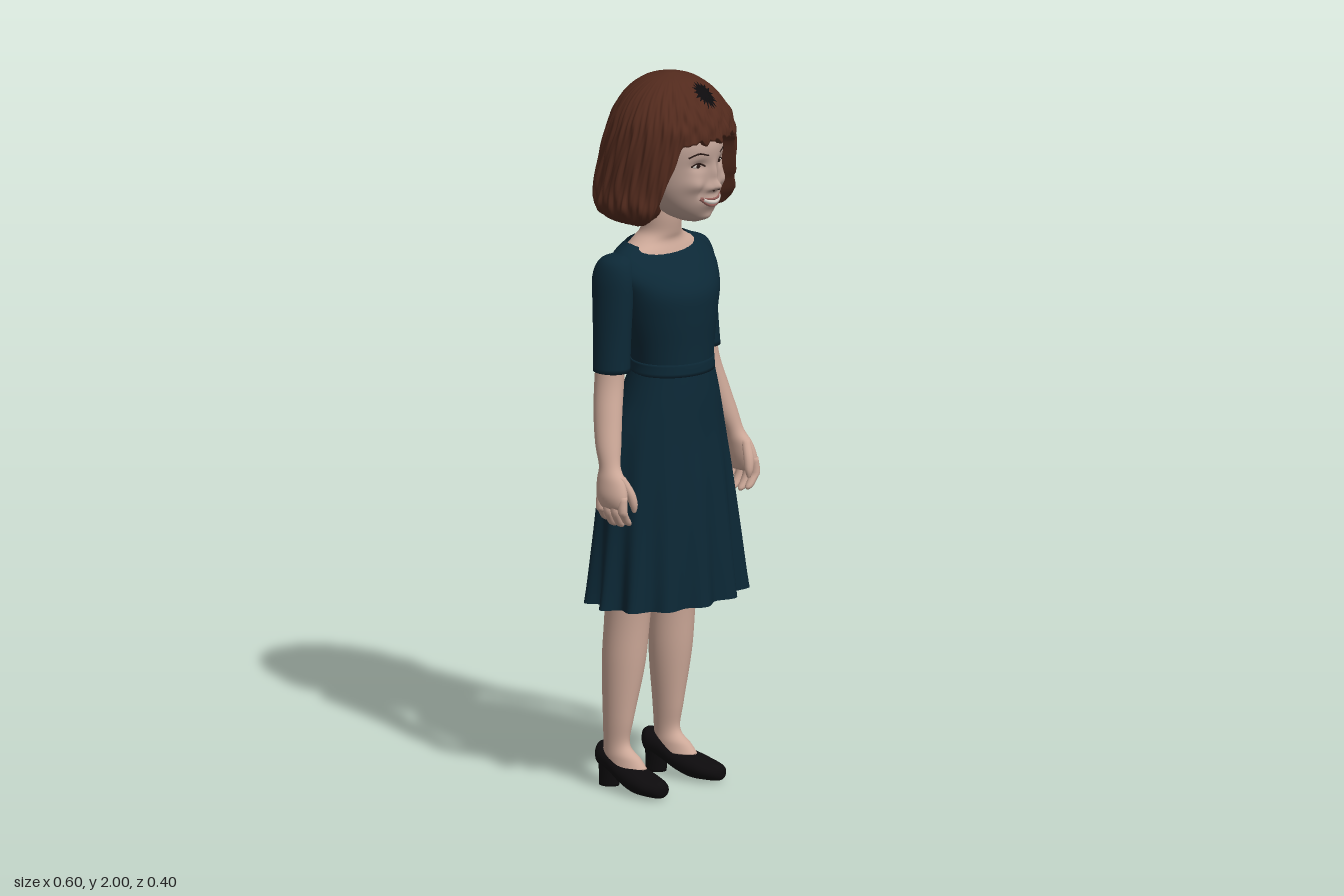
import * as THREE from 'three';

const paint = (name, color, side = THREE.FrontSide) => {
  const m = new THREE.MeshStandardMaterial({ color, side });
  m.name = name;
  return m;
};

// Smooth interpolation through section keys [y, centreX, centreZ, radiusX, radiusZ]
function sample(keys, t) {
  const n = keys.length - 1, f = Math.min(Math.max(t, 0), 1) * n;
  const i = Math.min(Math.floor(f), n - 1), s = f - i;
  const at = k => keys[Math.min(Math.max(k, 0), n)];
  const [a, b, c, d] = [at(i - 1), at(i), at(i + 1), at(i + 2)];
  return b.map((_, k) => b[k] + 0.5 * s * (c[k] - a[k] +
    s * (2 * a[k] - 5 * b[k] + 4 * c[k] - d[k] + s * (3 * (b[k] - c[k]) + d[k] - a[k]))));
}

// Skin over horizontal ellipses, listed from the top down; angle 0 is the front
function loft(keys, { rows = 24, segs = 32, caps = true, warp, mod } = {}) {
  const pos = [], index = [], p = new THREE.Vector3();
  for (let i = 0; i <= rows; i++) {
    for (let j = 0; j < segs; j++) {
      const t = i / rows, th = (j / segs) * Math.PI * 2;
      const a = th > Math.PI ? th - Math.PI * 2 : th;
      const [y, cx, cz, rx, rz] = sample(keys, warp ? warp(t, a) : t);
      p.set(cx + Math.max(rx, 0.001) * Math.sin(th), y, cz + Math.max(rz, 0.001) * Math.cos(th));
      if (mod) mod(p, t, a, cx, cz);
      pos.push(p.x, p.y, p.z);
      if (i < rows) {
        const k = i * segs + j, r = i * segs + (j + 1) % segs;
        index.push(k, k + segs, r, r, k + segs, r + segs);
      }
    }
  }
  if (caps) {
    const top = pos.length / 3, last = rows * segs, a = keys[0], b = keys[keys.length - 1];
    pos.push(a[1], a[0], a[2], b[1], b[0], b[2]);
    for (let j = 0; j < segs; j++) {
      const r = (j + 1) % segs;
      index.push(top, j, r, top + 1, last + r, last + j);
    }
  }
  const g = new THREE.BufferGeometry();
  g.setAttribute('position', new THREE.Float32BufferAttribute(pos, 3));
  g.setIndex(index);
  g.computeVertexNormals();
  return g;
}

export function createModel() {
  const model = new THREE.Group();
  const skin = paint('skin', 0xcca898), faceSkin = paint('face skin', 0xbda094);
  const hairMat = paint('auburn hair', 0x522a1d, THREE.DoubleSide);
  const dress = paint('navy dress', 0x0c2836, THREE.DoubleSide);
  const black = paint('black leather', 0x0d0b0d, THREE.DoubleSide);
  const white = paint('white', 0xd8d0c8), dark = paint('dark brown', 0x2a1a16);
  const lip = paint('lips', 0x96605a);
  const add = (name, geo, mat, parent = model) => {
    const m = new THREE.Mesh(geo, mat);
    m.name = name;
    parent.add(m);
    return m;
  };

  // Head with brow, sockets, nose, cheeks and mouth raised by soft bumps
  const bumps = [ // x, y, widthX, widthY, height
    [0, 1.708, 0.015, 0.013, 0.026], [0, 1.74, 0.010, 0.028, 0.012],
    [0.019, 1.703, 0.009, 0.009, 0.009], [-0.019, 1.703, 0.009, 0.009, 0.009],
    [0.044, 1.768, 0.02, 0.014, -0.012], [-0.044, 1.768, 0.02, 0.014, -0.012],
    [0.058, 1.715, 0.02, 0.02, 0.012], [-0.058, 1.715, 0.02, 0.02, 0.012],
    [0, 1.663, 0.03, 0.018, 0.010], [0, 1.613, 0.022, 0.013, 0.008],
    [0.04, 1.69, 0.007, 0.014, -0.005], [-0.04, 1.69, 0.007, 0.014, -0.005],
  ];
  const head = add('head', loft([
    [1.9, 0.005, 0.05, 0.03, 0.05], [1.87, 0.005, 0.05, 0.085, 0.1], [1.82, 0.005, 0.05, 0.104, 0.125],
    [1.76, 0.005, 0.05, 0.108, 0.122], [1.7, 0.005, 0.052, 0.103, 0.118], [1.65, 0.005, 0.06, 0.083, 0.103],
    [1.615, 0.005, 0.075, 0.052, 0.07], [1.598, 0.005, 0.08, 0.02, 0.035],
  ], {
    rows: 80, segs: 112, mod(p, t, a) {
      if (Math.abs(a) > 1.5) return;
      for (const [x, y, sx, sy, h] of bumps)
        p.z += h * Math.exp(-(((p.x - 0.005 - x) / sx) ** 2) - ((p.y - y) / sy) ** 2);
    },
  }), faceSkin);

  // Facial details laid on the head surface
  const ray = new THREE.Raycaster();
  head.updateMatrixWorld();
  const onFace = (x, y, lift = 0) => {
    ray.set(new THREE.Vector3(x + 0.005, y, 1), new THREE.Vector3(0, 0, -1));
    const hit = ray.intersectObject(head)[0];
    return new THREE.Vector3(x + 0.005, y, (hit ? hit.point.z : 0.1) + lift);
  };
  const stroke = (name, mat, pts, r) => add(name, new THREE.TubeGeometry(
    new THREE.CatmullRomCurve3(pts.map(([x, y]) => onFace(x, y))), 20, r, 6), mat);
  const smile = (mid, end, half) => [-1, -0.5, 0, 0.5, 1].map(u => [u * half, mid + (end - mid) * u * u]);
  const oval = (name, mat, x, y, w, h, lift) => {
    const m = add(name, new THREE.SphereGeometry(1, 16, 10), mat);
    m.scale.set(w, h, 0.004);
    m.position.copy(onFace(x, y, lift));
    m.rotation.y = x * 6;
  };
  for (const s of [-1, 1]) {
    oval('eyeWhite', white, s * 0.044, 1.767, 0.016, 0.006, 0);
    oval('iris', dark, s * 0.043, 1.767, 0.007, 0.006, 0.002);
    stroke('upperLid', dark, [[s * 0.026, 1.766], [s * 0.044, 1.775], [s * 0.064, 1.766]], 0.0025);
    stroke('eyebrow', dark, [[s * 0.022, 1.797], [s * 0.048, 1.804], [s * 0.072, 1.793]], 0.0025);
    oval('nostril', dark, s * 0.010, 1.697, 0.004, 0.0025, 0);
  }
  stroke('teeth', white, smile(1.662, 1.672, 0.032), 0.006);
  stroke('upperLip', lip, smile(1.671, 1.676, 0.04), 0.0035);
  stroke('lowerLip', lip, smile(1.652, 1.675, 0.04), 0.0045);

  // Bobbed hair: fringe in front, long at sides and back, edge tucked inwards
  const smooth = THREE.MathUtils.smoothstep;
  const hair = add('hair', loft([
    [2.0, 0.01, 0.01, 0.012, 0.012], [1.985, 0.01, 0.01, 0.07, 0.07], [1.95, 0.01, 0.01, 0.12, 0.117],
    [1.9, 0.01, 0.015, 0.157, 0.153], [1.85, 0.01, 0.015, 0.174, 0.172], [1.78, 0.01, 0.005, 0.186, 0.182],
    [1.7, 0.01, -0.005, 0.196, 0.188], [1.65, 0.01, -0.005, 0.2, 0.19], [1.615, 0.01, -0.01, 0.182, 0.176],
    [1.595, 0.01, -0.01, 0.15, 0.15],
  ], {
    rows: 64, segs: 240,
    warp: (t, a) => Math.min(t / 0.88, 1) * (0.47 + 0.51 * smooth(Math.abs(a), 0.56, 1.3)
      + 0.008 * Math.sin(a * 40) + 0.008 * Math.sin(a * 23 + 1)),
    mod(p, t, a, cx, cz) {
      const wave = 0.012 * Math.sin(a * 23 + 5 * Math.sin(t * 5)) + 0.012 * Math.sin(a * 47 - 7 * t)
        + 0.008 * Math.sin(a * 71 + 18 * t) + 0.008 * Math.sin(a * 13 + 30 * t);
      const tuck = 1 - 0.5 * Math.max(0, (t - 0.88) / 0.12);
      const k = (1 + wave * Math.min(1, t * 3)) * tuck;
      p.x = cx + (p.x - cx) * k;
      p.z = cz + (p.z - cz) * k;
    },
  }), hairMat);

  // Dark ragged patch at the crown
  hair.updateMatrixWorld();
  const patch = new THREE.CircleGeometry(0.03, 36).rotateX(-Math.PI / 2);
  const pp = patch.attributes.position;
  for (let i = 0; i < pp.count; i++) {
    const k = i % 2 ? 1.15 : 0.75, x = 0.018 + pp.getX(i) * k, z = 0.126 + pp.getZ(i) * k;
    ray.set(new THREE.Vector3(x, 3, z), new THREE.Vector3(0, -1, 0));
    const hit = ray.intersectObject(hair)[0];
    pp.setXYZ(i, x, (hit ? hit.point.y : 1.93) + 0.006, z + 0.002);
  }
  patch.computeVertexNormals();
  add('crownPatch', patch, black);

  // Neck and upper chest
  add('neck', loft([
    [1.66, 0.005, -0.01, 0.055, 0.055], [1.6, 0.006, -0.012, 0.056, 0.054], [1.555, 0.008, -0.02, 0.06, 0.054],
    [1.53, 0.01, -0.03, 0.09, 0.058], [1.505, 0.01, -0.03, 0.135, 0.066], [1.47, 0.01, -0.02, 0.15, 0.07],
  ]), skin);

  // Bodice with a scooped neckline, waistband and pleated skirt
  add('bodice', loft([
    [1.528, 0.01, -0.035, 0.108, 0.064], [1.5, 0.01, -0.035, 0.165, 0.075], [1.455, 0.01, -0.012, 0.183, 0.098],
    [1.4, 0.008, 0.004, 0.166, 0.124], [1.33, 0.006, 0.008, 0.148, 0.126], [1.25, 0.005, 0.02, 0.128, 0.112],
    [1.18, 0.004, 0.026, 0.117, 0.106],
  ], {
    rows: 36, segs: 48, caps: false,
    mod(p, t, a) { p.y -= 0.02 * Math.max(0, Math.cos(a)) * Math.max(0, 1 - t * 5); },
  }), dress);
  add('waistband', loft([
    [1.205, 0.004, 0.025, 0.121, 0.109], [1.19, 0.004, 0.025, 0.122, 0.11], [1.17, 0.004, 0.024, 0.125, 0.111],
  ], { rows: 4, segs: 48 }), dress);
  add('skirt', loft([
    [1.19, 0.004, 0.025, 0.118, 0.107], [1.1, 0.005, 0.014, 0.15, 0.125], [1.0, 0.005, -0.004, 0.183, 0.147],
    [0.85, 0.006, -0.002, 0.208, 0.158], [0.69, 0.007, 0, 0.228, 0.167], [0.53, 0.008, 0, 0.245, 0.176],
  ], {
    rows: 40, segs: 156, caps: false,
    mod(p, t, a, cx, cz) {
      const fold = 1 + 0.075 * t ** 2.5 * (1 + 0.3 * Math.sin(2 * a)) * Math.cos(13 * (a - 0.785));
      p.x = cx + (p.x - cx) * fold;
      p.z = cz + (p.z - cz) * fold;
    },
  }), dress);

  for (const s of [-1, 1]) {
    const side = s > 0 ? 'left' : 'right';
    const sided = keys => keys.map(([y, x, ...rest]) => [y, 0.003 + s * x, ...rest]);

    // Sleeve, arm and hand
    add(side + 'Sleeve', loft(sided([
      [1.508, 0.15, -0.042, 0.015, 0.02], [1.492, 0.158, -0.042, 0.04, 0.048], [1.45, 0.168, -0.042, 0.046, 0.064],
      [1.38, 0.176, -0.038, 0.045, 0.062], [1.28, 0.183, -0.034, 0.046, 0.056], [1.19, 0.19, -0.03, 0.048, 0.053],
    ])), dress);
    add(side + 'Arm', loft(sided([
      [1.24, 0.19, -0.032, 0.038, 0.042], [1.16, 0.2, -0.03, 0.039, 0.042], [1.08, 0.222, -0.016, 0.037, 0.041],
      [1.0, 0.244, 0.004, 0.034, 0.037], [0.945, 0.259, 0.022, 0.026, 0.032], [0.91, 0.267, 0.034, 0.027, 0.045],
      [0.87, 0.273, 0.042, 0.027, 0.051], [0.84, 0.274, 0.045, 0.02, 0.046], [0.83, 0.272, 0.045, 0.01, 0.036],
    ]), { rows: 40 }), skin);
    const digit = (name, keys) => add(side + name, loft(sided(keys), { rows: 12, segs: 12 }), skin);
    for (let f = 0; f < 4; f++) {
      const z = 0.005 + f * 0.026, drop = [0.012, 0, 0, 0.008][f];
      digit('Finger', [
        [0.87, 0.275, z, 0.012, 0.013], [0.83, 0.279, z + 0.002, 0.013, 0.014],
        [0.805 + drop, 0.27, z + 0.001, 0.012, 0.013], [0.785 + drop, 0.256, z, 0.012, 0.011],
        [0.777 + drop, 0.25, z, 0.004, 0.004],
      ]);
    }
    digit('Thumb', [
      [0.92, 0.262, 0.065, 0.012, 0.012], [0.88, 0.25, 0.085, 0.014, 0.014],
      [0.845, 0.243, 0.093, 0.012, 0.012], [0.822, 0.241, 0.094, 0.005, 0.005],
    ]);

    // Leg, running down into the shoe
    const hip = s > 0 ? 0.092 : -0.096, ankle = s > 0 ? 0.082 : -0.13;
    add(side + 'Leg', loft([
      [0.95, 0, -0.01, 0.08, 0.09], [0.7, 0, -0.03, 0.07, 0.078], [0.5, 0.1, -0.046, 0.06, 0.066],
      [0.35, 0.35, -0.054, 0.056, 0.062], [0.2, 0.85, -0.058, 0.036, 0.047], [0.125, 1, -0.06, 0.028, 0.041],
      [0.09, 1, -0.042, 0.031, 0.062], [0.065, 1, -0.024, 0.034, 0.066],
    ].map(([y, k, ...rest]) => [y, hip + (ankle - hip) * k, ...rest]), { rows: 48 }), skin);

    // Court shoe pointing slightly outwards, built from toe to heel
    const shoe = new THREE.Group();
    shoe.name = side + 'Shoe';
    shoe.position.x = ankle + s * 0.004;
    shoe.rotation.y = s * 0.12;
    model.add(shoe);
    add('upper', loft([
      [0.126, 0, -0.02, 0.008, 0.01], [0.115, 0, -0.022, 0.028, 0.021], [0.08, 0, -0.026, 0.045, 0.027],
      [0.03, 0, -0.034, 0.048, 0.034], [-0.02, 0, -0.048, 0.043, 0.033], [-0.07, 0, -0.072, 0.037, 0.034],
      [-0.112, 0, -0.085, 0.034, 0.036], [-0.132, 0, -0.088, 0.014, 0.024],
    ], { rows: 32 }).rotateX(Math.PI / 2), black, shoe);
    add('heel', loft([
      [0.085, 0, -0.09, 0.032, 0.038], [0.04, 0, -0.092, 0.027, 0.032], [0, 0, -0.094, 0.026, 0.03],
    ], { rows: 8 }), black, shoe);
  }
  return model;
}
